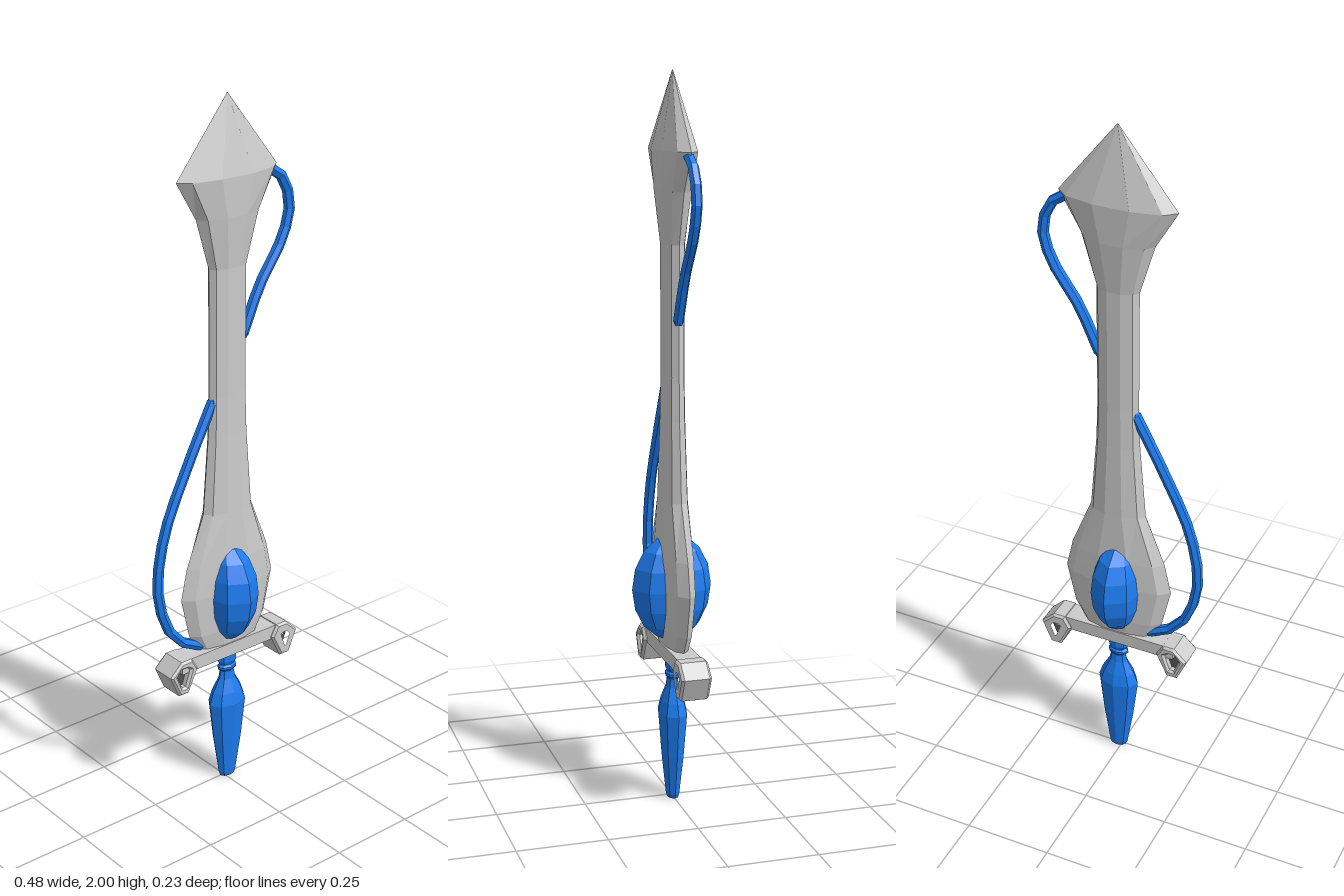
import * as THREE from 'three';

const CX = 0.012; // the blade, guard and grip share this axis

function material(color) {
  return new THREE.MeshStandardMaterial({ color, flatShading: true });
}

export function createModel() {
  const model = new THREE.Group();
  const grey = material(0xcccccc);
  const blue = material(0x1c7cf0);

  function add(name, geometry, mat, parent = model) {
    const mesh = new THREE.Mesh(geometry, mat);
    mesh.name = name;
    parent.add(mesh);
    return mesh;
  }

  // Blade: ten-sided column whose rows follow [height, half width, half depth]
  const rows = [
    [0.44, 0.1, 0.03], [0.5, 0.135, 0.037], [0.62, 0.162, 0.042],
    [0.71, 0.142, 0.042], [0.86, 0.083, 0.037], [1.08, 0.065, 0.031],
    [1.2, 0.061, 0.029], [1.55, 0.061, 0.03], [1.69, 0.103, 0.044],
    [1.795, 0.165, 0.047], [2.0, 0.001, 0.001],
  ];
  const last = rows.length - 1;
  const blade = new THREE.CylinderGeometry(1, 1, 1, 10, last);
  blade.rotateY(Math.PI / 2);
  const p = blade.attributes.position;
  for (let i = 0; i < p.count; i++) {
    const [y, w, d] = rows[Math.round((p.getY(i) + 0.5) * last)];
    p.setXYZ(i, CX + p.getX(i) * w, y, p.getZ(i) * d);
  }
  blade.computeVertexNormals();
  add('blade', blade, grey);

  // Gem: faceted ellipsoid passing through the base of the blade
  const gem = add('gem', new THREE.SphereGeometry(1, 8, 8), blue);
  gem.scale.set(0.079, 0.15, 0.113);
  gem.position.set(0.005, 0.608, 0);

  // Guard: crossbar with a hollow, tapered block at each end
  const guard = new THREE.Group();
  guard.name = 'guard';
  guard.position.x = CX;
  model.add(guard);
  const bar = add('crossbar', new THREE.BoxGeometry(0.37, 0.04, 0.066), grey, guard);
  bar.position.y = 0.431;

  const outline = [[0.135, 0.418], [0.155, 0.453], [0.19, 0.453], [0.229, 0.416], [0.2, 0.35], [0.168, 0.35]];
  const hole = [[0.16, 0.422], [0.172, 0.43], [0.192, 0.43], [0.206, 0.413], [0.19, 0.373], [0.177, 0.373]];
  for (const side of [1, -1]) {
    const points = (list) => list.map(([x, y]) => new THREE.Vector2(x * side, y));
    const shape = new THREE.Shape(points(outline));
    shape.holes.push(new THREE.Path(points(hole)));
    const frame = new THREE.ExtrudeGeometry(shape, {
      depth: 0.07, bevelThickness: 0.007, bevelSize: 0.006, bevelOffset: -0.006, bevelSegments: 1,
    });
    frame.translate(0, 0, -0.035);
    const label = side > 0 ? 'left' : 'right';
    add(label + 'GuardEnd', frame, grey, guard);
    // Recessed floor inside the hollow
    const floor = new THREE.ExtrudeGeometry(new THREE.Shape(points(hole)), { depth: 0.04, bevelEnabled: false });
    floor.translate(0, 0, -0.02);
    add(label + 'GuardRecess', floor, material(0x555555), guard);
  }

  // Grip: flattened eight-sided handle with a ringed neck
  const gripProfile = [
    [0, 0], [0.024, 0], [0.029, 0.012], [0.048, 0.13], [0.062, 0.25], [0.05, 0.285],
    [0.028, 0.325], [0.023, 0.35], [0.031, 0.357], [0.031, 0.364], [0.024, 0.37],
    [0.031, 0.382], [0.031, 0.405], [0.024, 0.415], [0, 0.415],
  ].map(([r, y]) => new THREE.Vector2(r, y));
  const grip = add('grip', new THREE.LatheGeometry(gripProfile, 8), blue);
  grip.scale.z = 0.66;
  grip.position.x = CX;

  // Cables: bent tubes with closed ends, looping off each edge of the blade
  function cable(name, path, segments) {
    const curve = new THREE.CatmullRomCurve3(path.map(([x, y]) => new THREE.Vector3(x, y, 0)));
    const group = new THREE.Group();
    group.name = name;
    model.add(group);
    add(name + 'Tube', new THREE.TubeGeometry(curve, segments, 0.015, 6), blue, group);
    for (const t of [0, 1]) {
      const end = add(name + 'End', new THREE.SphereGeometry(0.0145, 6, 4), blue, group);
      end.position.copy(curve.getPoint(t));
    }
  }
  cable('upperCable', [[0.15, 1.787], [0.172, 1.775], [0.204, 1.745], [0.223, 1.665],
    [0.194, 1.58], [0.125, 1.477], [0.066, 1.35]], 10);
  cable('lowerCable', [[-0.038, 1.182], [-0.125, 1.016], [-0.204, 0.84], [-0.23, 0.68],
    [-0.204, 0.565], [-0.162, 0.502], [-0.085, 0.46]], 12);

  return model;
}
